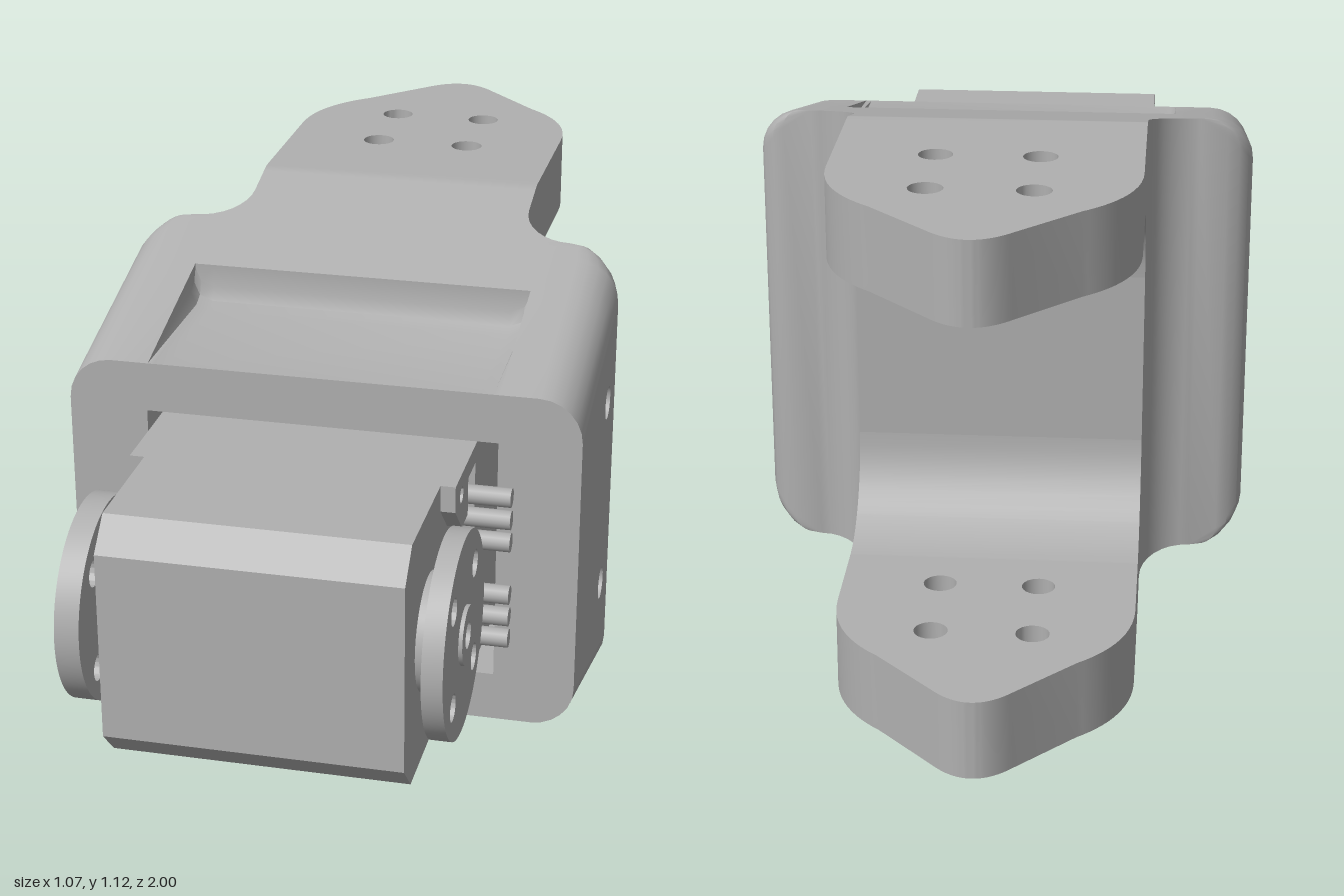
import * as THREE from 'three';
import { toCreasedNormals } from 'three/addons/utils/BufferGeometryUtils.js';

const MID = 0.56; // height of the symmetry plane

export function createModel() {
  const model = new THREE.Group();
  const grey = new THREE.MeshStandardMaterial({ color: 0xb0b0b0 });
  grey.name = 'plain grey';

  const add = (name, geo, x = 0, y = 0, z = 0, parent = model) => {
    const m = new THREE.Mesh(geo, grey);
    m.name = name;
    m.position.set(x, y, z);
    parent.add(m);
    return m;
  };
  const poly = (pts) => new THREE.Shape(pts.map(([x, y]) => new THREE.Vector2(x, y)));
  const hole = (shape, x, y, r) => shape.holes.push(new THREE.Path().absarc(x, y, r, 0, Math.PI * 2, true));
  const extrude = (shape, depth) => toCreasedNormals(
    new THREE.ExtrudeGeometry(shape, { depth, bevelEnabled: false, curveSegments: 12 }), 0.6);
  // Extrude along +x a shape drawn in (-z, y)
  const sideExtrude = (shape, depth) => extrude(shape, depth).rotateY(Math.PI / 2);
  const disc = (r, len) => new THREE.CylinderGeometry(r, r, len, 36).rotateZ(Math.PI / 2);

  // Skin a list of { z, pts } rings from front to back; skip(a, b, i) leaves out a strip
  const loft = (rings, skip = () => false) => {
    const pos = [];
    for (let j = 0; j < rings.length - 1; j++) {
      const a = rings[j], b = rings[j + 1], n = a.pts.length;
      for (let i = 0; i < n; i++) {
        if (skip(a, b, i)) continue;
        const k = (i + 1) % n;
        for (const [r, q] of [[a, i], [b, i], [a, k], [b, i], [b, k], [a, k]])
          pos.push(r.pts[q][0], r.pts[q][1], r.z);
      }
    }
    const g = new THREE.BufferGeometry();
    g.setAttribute('position', new THREE.Float32BufferAttribute(pos, 3));
    return toCreasedNormals(g, 0.6);
  };

  // Half height of the outer wedge, and of the gap inside the fork
  const half = (z) => (z < -0.27 ? 0.56 : 0.37 + (0.47 - z) * 0.257);
  const gap = (z) => 0.19 + Math.sqrt(Math.max(0, 0.04 - (z + 0.39) ** 2));

  // Rounded section with a recess in its top and bottom edges (f = recess floor)
  const section = (z, w, f = half(z)) => {
    const h = half(z), r = THREE.MathUtils.clamp(w - 0.44, 0, 0.09), q = [];
    for (let i = 0; i <= 6; i++) {
      const t = (i / 6) * Math.PI / 2;
      q.push([w - r + r * Math.cos(t), h - r + r * Math.sin(t)]);
    }
    const nx = Math.min(0.365, w - r - 0.01), k = Math.min(0.04, h - f);
    q.push([nx, h], [nx, f + k], [nx - 0.012, f + k * 0.3], [nx - 0.04, f]);
    const top = [...q, ...q.map(([x, y]) => [-x, y]).reverse()];
    return { z, pts: [...top, ...top.map(([x, y]) => [-x, -y])] };
  };

  // Housing shell
  const rings = [
    section(0.47, 0.535, 0.37), section(0.16, 0.535, 0.37), section(0.132, 0.535, 0.382),
    section(0.12, 0.535, 0.41), section(0.12, 0.535), section(0, 0.535), section(-0.03, 0.525),
    section(-0.047, 0.505), section(-0.055, 0.48),
  ];
  for (let i = 0; i <= 8; i++) {
    const t = (i / 8) * Math.PI / 2;
    rings.push(section(-0.17 + 0.11 * Math.cos(t), 0.42 - 0.11 * Math.sin(t)));
  }
  rings.push(section(-0.19, 0.31));
  const n = rings[0].pts.length;
  // The flat sides are left open here for the drilled side walls
  const isFlatSide = (a, b, i) => b.z >= 0 && (i === n - 1 || i === n / 2 - 1);
  add('housingShell', loft(rings, isFlatSide), 0, MID, 0);

  // Drilled side walls with counterbored screw holes
  for (const s of [1, -1]) {
    const wall = new THREE.Group();
    wall.name = s > 0 ? 'leftSideWall' : 'rightSideWall';
    wall.position.y = MID;
    if (s < 0) wall.rotation.z = Math.PI;
    model.add(wall);
    [[0.505, 0.036], [0.475, 0.018]].forEach(([x, r]) => {
      const a = half(0.47) - 0.09, b = half(0) - 0.09;
      const shape = poly([[-0.47, -a], [0, -b], [0, b], [-0.47, a]]);
      for (const y of [-0.215, 0.215]) hole(shape, -0.105, y, r);
      add('drilledPlate', sideExtrude(shape, 0.03), x, 0, 0, wall);
    });
  }

  // Front face with the opening, and the pocket behind it
  const opening = () => new THREE.Path(
    [[-0.37, -0.265], [-0.37, 0.265], [0.365, 0.265], [0.365, -0.265]].map(([x, y]) => new THREE.Vector2(x, y)));
  const face = poly(rings[0].pts.filter((p, i) => i % (n / 4) < 7 || i % (n / 4) >= 4));
  face.holes.push(opening());
  add('frontFace', new THREE.ShapeGeometry(face), 0, MID, 0.47);
  const frame = poly([[-0.47, -0.34], [0.47, -0.34], [0.47, 0.34], [-0.47, 0.34]]);
  frame.holes.push(opening());
  add('pocketWalls', extrude(frame, 0.449), 0, MID, 0.02);
  add('pocketFloor', new THREE.PlaneGeometry(0.8, 0.6), 0, MID, 0.03);

  // Back wall between the fork arms
  add('forkWall', new THREE.PlaneGeometry(0.62, 0.38).rotateY(Math.PI), 0, MID, -0.19);

  // Fork arms: curved root and flat drilled plate
  const plan = new THREE.Shape();
  plan.moveTo(-0.31, -0.39);
  plan.lineTo(-0.31, -0.6);
  plan.bezierCurveTo(-0.31, -0.72, -0.25, -0.79, -0.2, -0.83);
  plan.lineTo(-0.08, -0.955);
  plan.quadraticCurveTo(-0.04, -1, 0, -1);
  plan.quadraticCurveTo(0.04, -1, 0.08, -0.955);
  plan.lineTo(0.2, -0.83);
  plan.bezierCurveTo(0.25, -0.79, 0.31, -0.72, 0.31, -0.6);
  plan.lineTo(0.31, -0.39);
  for (const x of [-0.104, 0.104]) for (const z of [-0.51, -0.717]) hole(plan, x, z, 0.035);
  const plate = extrude(plan, 0.17).rotateX(Math.PI / 2);

  const rootZ = [];
  for (let i = 0; i <= 10; i++) rootZ.push(-0.39 + 0.2 * Math.cos((i / 10) * Math.PI / 2));
  rootZ.push(-0.27);
  rootZ.sort((a, b) => b - a);
  for (const s of [1, -1]) {
    const name = s > 0 ? 'upperArm' : 'lowerArm';
    const root = rootZ.map((z) => {
      const lo = s > 0 ? gap(z) : -half(z), hi = s > 0 ? half(z) : -gap(z);
      return { z, pts: [[0.31, lo], [0.31, hi], [-0.31, hi], [-0.31, lo]] };
    });
    add(name + 'Root', loft(root), 0, MID, 0);
    add(name + 'Plate', plate, 0, s > 0 ? 1.12 : 0.17, 0);
  }

  // Motor body with chamfered front edges
  const body = poly([[-1, 0.365], [-0.94, 0.303], [-0.05, 0.303], [-0.05, 0.82], [-0.94, 0.82], [-1, 0.76]]);
  add('motorBody', sideExtrude(body, 0.6), -0.31, 0, 0);

  // Side covers, cut away around the horns and the connector
  const cover = poly([
    [-0.68, 0.303], [-0.1, 0.303], [-0.1, 0.82], [-0.68, 0.82], [-0.68, 0.765], [-0.61, 0.7], [-0.55, 0.7],
    [-0.55, 0.78], [-0.475, 0.78], [-0.475, 0.35], [-0.55, 0.35], [-0.55, 0.43], [-0.61, 0.43], [-0.68, 0.36]]);
  for (const y of [0.345, 0.775]) hole(cover, -0.617, y, 0.017);
  add('leftCover', sideExtrude(cover, 0.03), 0.29, 0, 0);
  add('rightCover', sideExtrude(cover, 0.03), -0.34, 0, 0);

  // Connector pins
  for (const y of [0.4, 0.45, 0.5, 0.62, 0.67, 0.72])
    add('connectorPin', new THREE.CylinderGeometry(0.02, 0.02, 0.12, 16).rotateZ(Math.PI / 2), 0.34, y, 0.497);

  // Round horns with four holes, a hub behind and a centre cap
  const horn = (name, x0, depth, capHole) => {
    const shape = new THREE.Shape().absarc(-0.79, MID, 0.208, 0, Math.PI * 2);
    for (const dz of [-0.104, 0.104]) for (const dy of [-0.104, 0.104]) hole(shape, -0.79 + dz, MID + dy, 0.028);
    if (capHole) hole(shape, -0.79, MID, 0.05);
    const geo = new THREE.ExtrudeGeometry(shape, { depth, bevelEnabled: false, curveSegments: 40 });
    add(name, toCreasedNormals(geo, 0.6).rotateY(Math.PI / 2), x0, 0, 0);
  };
  horn('leftHorn', 0.32, 0.042, true);
  add('leftHub', disc(0.12, 0.03), 0.305, MID, 0.79);
  const cap = new THREE.Shape().absarc(-0.79, MID, 0.06, 0, Math.PI * 2);
  hole(cap, -0.79, MID, 0.027);
  add('leftCap', sideExtrude(cap, 0.05), 0.32, 0, 0);
  horn('rightHorn', -0.4, 0.05, false);
  add('rightHub', disc(0.093, 0.04), -0.33, MID, 0.79);
  add('rightCap', disc(0.055, 0.034), -0.415, MID, 0.79);

  return model;
}
